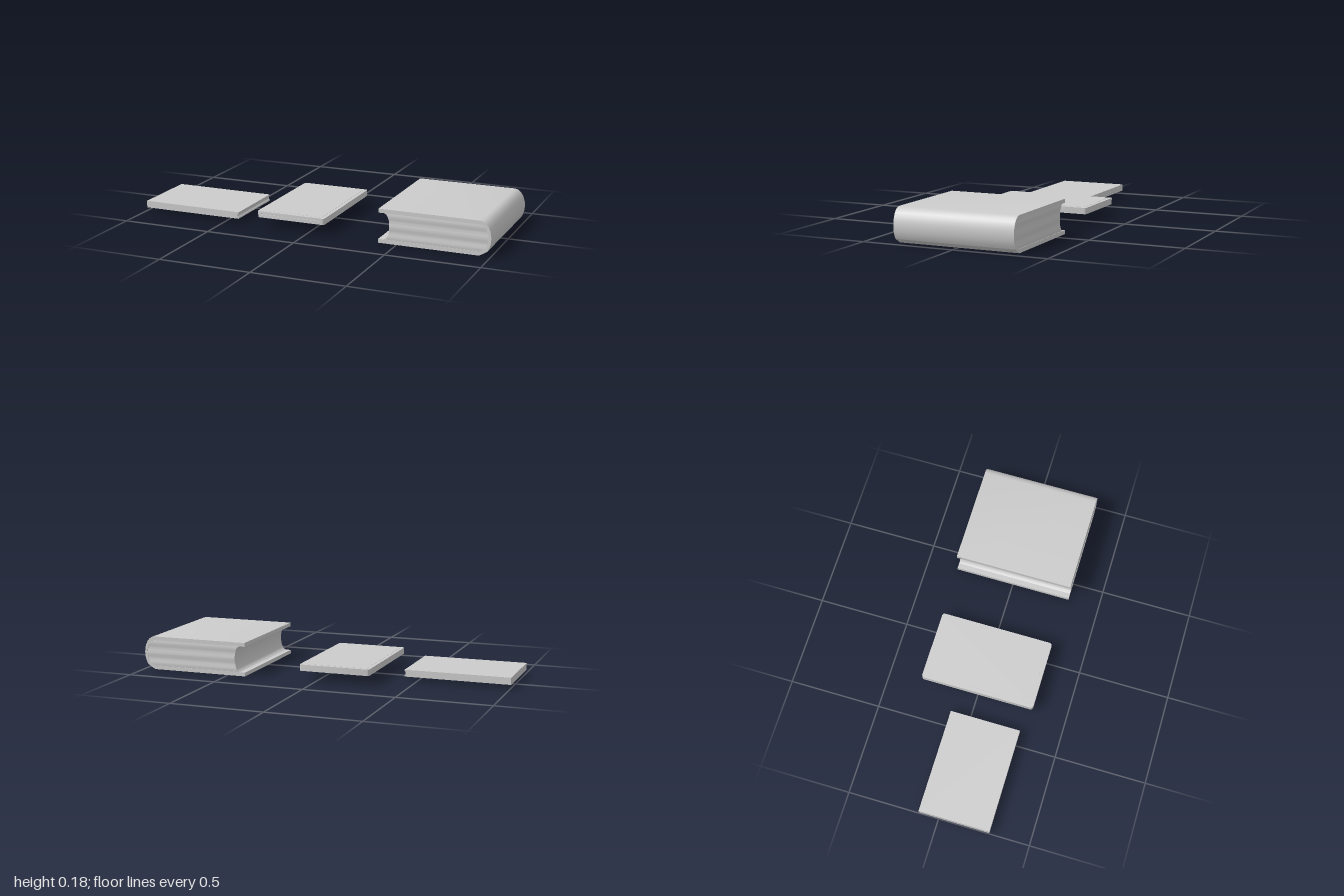
import * as THREE from 'three';
import { toCreasedNormals } from 'three/addons/utils/BufferGeometryUtils.js';

const material = new THREE.MeshStandardMaterial({ color: 0xcccccc });

function addMesh(parent, geometry, name, crease = 0.45) {
  const mesh = new THREE.Mesh(toCreasedNormals(geometry, crease), material);
  mesh.name = name;
  parent.add(mesh);
  return mesh;
}

// Extrude a profile drawn in x/y along z
function extrudeZ(points, z0, z1) {
  const g = new THREE.ExtrudeGeometry(new THREE.Shape(points), { depth: z1 - z0, bevelEnabled: false });
  return g.translate(0, 0, z0);
}

// Extrude an x/z plan upwards from y0 to y1
function extrudeY(shape, y0, y1) {
  const g = new THREE.ExtrudeGeometry(shape, { depth: y1 - y0, bevelEnabled: false, curveSegments: 5 });
  return g.rotateX(-Math.PI / 2).translate(0, y0, 0);
}

// Rounded rectangle; an optional notch cuts into the front edge
function roundedPlan(x0, x1, half, r, notch) {
  const s = new THREE.Shape();
  s.moveTo(x0 + r, -half);
  if (notch) {
    s.lineTo(notch.x0, -half);
    s.lineTo(notch.x0, -half + notch.depth);
    s.lineTo(notch.x1, -half + notch.depth);
    s.lineTo(notch.x1, -half);
  }
  s.lineTo(x1 - r, -half);
  s.absarc(x1 - r, -half + r, r, -Math.PI / 2, 0);
  s.absarc(x1 - r, half - r, r, 0, Math.PI / 2);
  s.absarc(x0 + r, half - r, r, Math.PI / 2, Math.PI);
  s.absarc(x0 + r, -half + r, r, Math.PI, Math.PI * 1.5);
  return s;
}

// Stack of rectangles, one per height, skinned into a closed block
function loftLayers(layers) {
  const pos = [], index = [];
  for (const { y, x0, x1, z } of layers) pos.push(x0, y, z, x1, y, z, x1, y, -z, x0, y, -z);
  for (let i = 0; i < layers.length - 1; i++) {
    for (let k = 0; k < 4; k++) {
      const a = i * 4 + k, b = i * 4 + (k + 1) % 4;
      index.push(a, b, b + 4, a, b + 4, a + 4);
    }
  }
  const t = (layers.length - 1) * 4;
  index.push(0, 2, 1, 0, 3, 2, t, t + 1, t + 2, t, t + 2, t + 3);
  const g = new THREE.BufferGeometry();
  g.setAttribute('position', new THREE.Float32BufferAttribute(pos, 3));
  g.setIndex(index);
  return g;
}

function thickBook() {
  const book = new THREE.Group();
  book.name = 'thickBook';
  const mid = 0.0915, thick = 0.021, spineX = 0.94;
  const angles = [-90, -47, -32, -16, 0, 15, 30, 45, 60, 75, 90].map(THREE.MathUtils.degToRad);
  const arc = (rx, ry) => angles.map(a =>
    new THREE.Vector2(spineX + rx * Math.cos(a), mid + ry * Math.sin(a)));

  // Cover boards wrapped round the curved spine
  const outer = arc(0.06, mid), inner = arc(0.045, mid - thick).reverse();
  const cover = [
    new THREE.Vector2(0.4, 0), ...outer, new THREE.Vector2(0.4, mid * 2),
    new THREE.Vector2(0.4, mid * 2 - thick), ...inner, new THREE.Vector2(0.4, thick),
  ];
  addMesh(book, extrudeZ(cover, -0.326, 0.326), 'cover');

  // Pages: hollow fore edge, round back, faintly rippled ends
  const layers = [];
  const steps = 20, h = mid - thick;
  for (let i = 0; i <= steps; i++) {
    const t = -1 + 2 * i / steps;
    const bow = Math.sqrt(Math.max(0, 1 - t * t));
    layers.push({
      y: mid + t * h,
      x0: 0.43 + 0.03 * bow,
      x1: spineX + 0.045 * bow,
      z: 0.324 + 0.0015 * Math.cos(t * Math.PI * 2.5),
    });
  }
  addMesh(book, loftLayers(layers), 'pages', 0.8);
  return book;
}

function slimTablet() {
  const tablet = new THREE.Group();
  tablet.name = 'slimTablet';
  const x0 = -0.297, x1 = 0.091, half = 0.314, r = 0.014;
  const plan = roundedPlan(x0, x1, half, r);
  // Body in three layers, the middle one notched to leave a slot in the front
  addMesh(tablet, extrudeY(plan, 0.053, 0.071), 'lowerBody');
  addMesh(tablet, extrudeY(roundedPlan(x0, x1, half, r,
    { x0: -0.275, x1: 0.062, depth: 0.004 }), 0.071, 0.077), 'slotLayer');
  addMesh(tablet, extrudeY(plan, 0.077, 0.087), 'upperBody');
  // Inset panel just proud of the top
  addMesh(tablet, extrudeY(roundedPlan(x0 + 0.02, x1 - 0.02, half - 0.02, 0.006), 0.085, 0.0878), 'topPanel');
  return tablet;
}

function thinBook() {
  const book = new THREE.Group();
  book.name = 'thinBook';
  // Closed profile with a slightly hollow right edge
  const profile = [
    [-1, 0.018], [-0.427, 0.018], [-0.427, 0.024], [-0.433, 0.031],
    [-0.433, 0.042], [-0.427, 0.049], [-0.427, 0.055], [-1, 0.056],
  ].map(p => new THREE.Vector2(...p));
  addMesh(book, extrudeZ(profile, -0.108, 0.281), 'body');
  return book;
}

export function createModel() {
  const model = new THREE.Group();
  model.name = 'books';
  model.add(thickBook(), slimTablet(), thinBook());
  return model;
}
